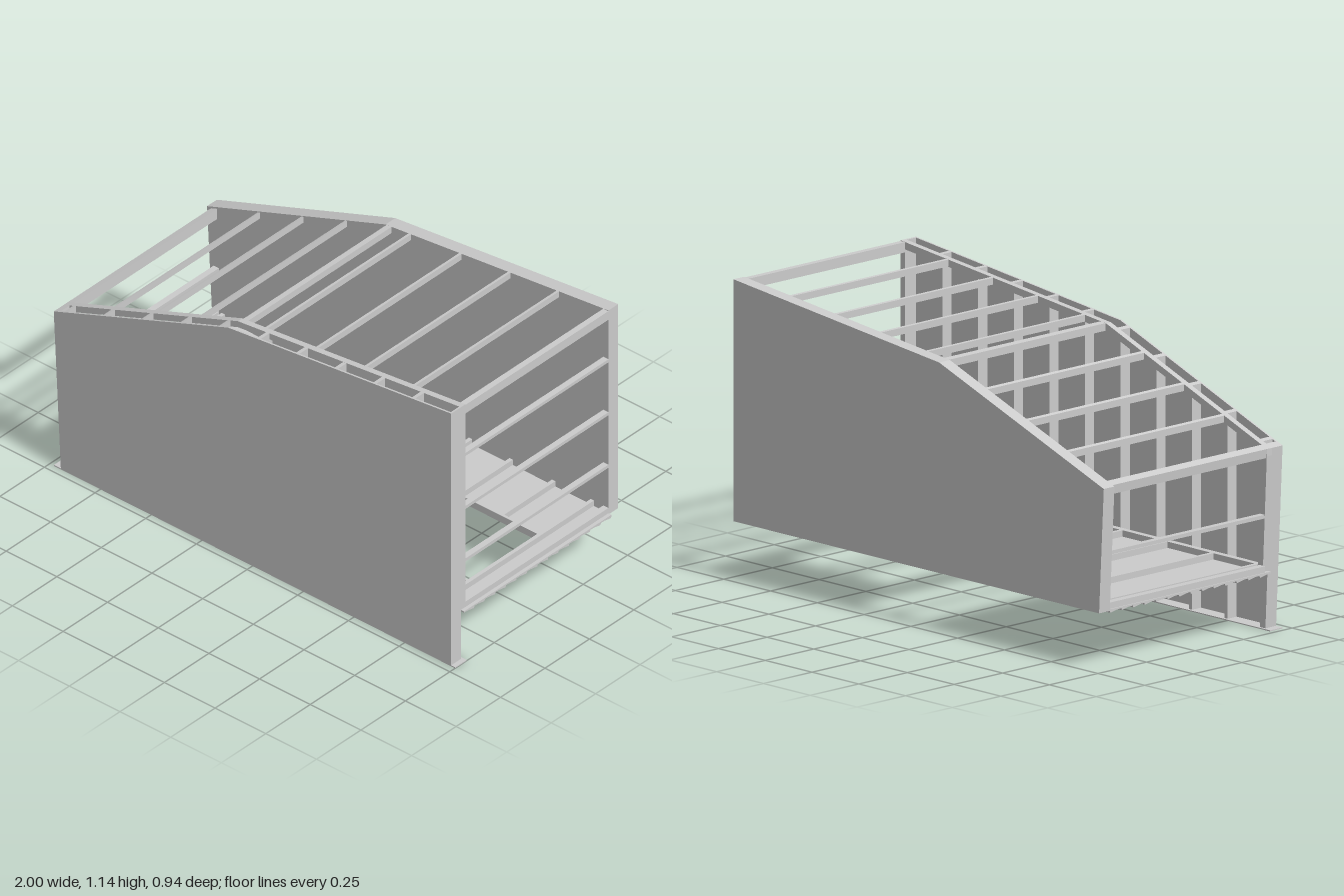
import * as THREE from 'three';

const material = new THREE.MeshStandardMaterial({ color: 0xcccccc, flatShading: true, side: THREE.DoubleSide });

// Height of the two-pitch roof line at x
const roofY = x => x < -0.12 ? 1.025 + (x + 0.12) * 0.378 : 1.025 + (x + 0.12) * 0.109;

export function createModel() {
  const model = new THREE.Group();

  const add = (name, geometry) => {
    const mesh = new THREE.Mesh(geometry, material);
    mesh.name = name;
    model.add(mesh);
  };
  const extrude = (points, depth) => new THREE.ExtrudeGeometry(
    new THREE.Shape(points.map(p => new THREE.Vector2(p[0], p[1]))), { depth, bevelEnabled: false });

  // Outline in x/y, extruded from z0 to z1
  const prism = (name, points, z0, z1) => add(name, extrude(points, z1 - z0).translate(0, 0, z0));
  const box = (name, x0, x1, y0, y1, z0, z1) =>
    prism(name, [[x0, y0], [x1, y0], [x1, y1], [x0, y1]], z0, z1);

  const INNER = 0.39, FRAME = 0.415, SKIN = 0.462, OUTER = 0.47, BACK = -0.415;

  // Front wall: thin outer skin on a base strip
  prism('frontSkin', [[-0.945, 0], [0.98, 0], [0.98, 1.145], [-0.12, 1.025], [-0.98, 0.7]], SKIN, OUTER);
  box('baseStrip', -0.98, 1.0, 0, 0.004, 0.405, OUTER);

  // Front wall studs
  for (let i = 0; i < 11; i++) {
    const x = -0.735 + (i - 1) * 0.1905;
    const a = x - 0.008, b = Math.min(x + 0.008, 0.98);
    prism('frontStud', [[a, 0.004], [b, 0.004], [b, roofY(b)], [a, roofY(a)]], FRAME, SKIN);
  }
  prism('frontEndStud', [[-0.945, 0], [-0.915, 0], [-0.95, roofY(-0.95)], [-0.98, 0.7]], FRAME, SKIN);

  // Inner frame: sloping top rail, end posts and floor rail
  prism('topRail', [[-0.98, 0.7], [-0.98, 0.672], [-0.12, 0.998], [0.98, 1.117], [0.98, 1.145], [-0.12, 1.025]],
    INNER, FRAME);
  box('frontPost', 0.955, 0.98, 0.22, 1.142, INNER, FRAME);
  prism('frontPost', [[-0.957, 0.22], [-0.93, 0.22], [-0.953, 0.71], [-0.98, 0.7]], INNER, FRAME);
  box('floorRail', -0.957, 0.98, 0.22, 0.25, INNER, FRAME);

  // Back wall: one thick panel
  prism('backWall', [[-0.975, 0.22], [0.98, 0.22], [0.98, 1.145], [-0.12, 1.025], [-1.0, 0.7]], -OUTER, BACK);

  // Roof rafters lying across the depth
  for (const x of [-0.745, -0.53, -0.315, 0, 0.25, 0.49, 0.73]) {
    const a = x - 0.006, b = x + 0.006;
    prism('rafter', [[a, roofY(a) - 0.026], [b, roofY(b) - 0.026], [b, roofY(b)], [a, roofY(a)]], BACK, INNER);
  }
  prism('ridgeBeam', [[-0.115, 0.996], [-0.09, 1.0], [-0.09, 1.028], [-0.115, 1.025]], BACK, INNER);
  prism('endBeam', [[-0.977, 0.665], [-0.95, 0.665], [-0.95, 0.711], [-0.98, 0.7]], BACK, INNER);
  box('endBeam', 0.955, 0.98, 1.103, 1.142, BACK, INNER);

  // Horizontal rails across the open ends
  for (const y of [0.432, 0.67, 0.91]) box('endRail', 0.955, 0.98, y, y + 0.014, BACK, INNER);
  box('endRail', -0.967, -0.942, 0.432, 0.446, BACK, INNER);

  // Floor decking with a saw-tooth underside, in bays around the two openings
  const deck = (x0, x1, z0, z1) => {
    const n = Math.max(1, Math.round((z1 - z0) / 0.06)), pitch = (z1 - z0) / n;
    const points = [[-z1, 0.226], [-z1, 0.22]];
    for (let i = 0; i < n; i++) {
      const z = z1 - i * pitch;
      points.push([-(z - pitch * 0.35), 0.219], [-(z - pitch * 0.95), 0.212], [-(z - pitch), 0.22]);
    }
    points.push([-z0, 0.226]);
    add('floorDeck', extrude(points, x1 - x0).rotateY(Math.PI / 2).translate(x0, 0, 0));
  };
  deck(-0.975, -0.19, BACK, FRAME);
  deck(-0.19, 0.2, 0.37, FRAME);
  deck(0.2, 0.31, BACK, FRAME);
  deck(0.31, 0.89, BACK, -0.115);
  deck(0.31, 0.89, 0.275, FRAME);
  deck(0.89, 0.995, BACK, FRAME);

  // Floor joists, interrupted at the window-shaped opening
  for (const x of [-0.92, -0.685, -0.44, -0.2, 0.21, 0.3, 0.9])
    box('joist', x - 0.008, x + 0.008, 0.226, 0.25, BACK, INNER);
  for (const x of [0.5, 0.71]) {
    box('shortJoist', x - 0.008, x + 0.008, 0.226, 0.25, BACK, -0.115);
    box('shortJoist', x - 0.008, x + 0.008, 0.226, 0.25, 0.275, INNER);
  }
  box('openingTrim', 0.3, 0.9, 0.226, 0.25, -0.127, -0.115);
  box('openingTrim', 0.3, 0.9, 0.226, 0.25, 0.275, 0.287);
  box('floorEndBeam', 0.955, 0.98, 0.22, 0.25, BACK, INNER);
  box('floorEndBeam', -0.97, -0.94, 0.22, 0.25, BACK, INNER);

  return model;
}
